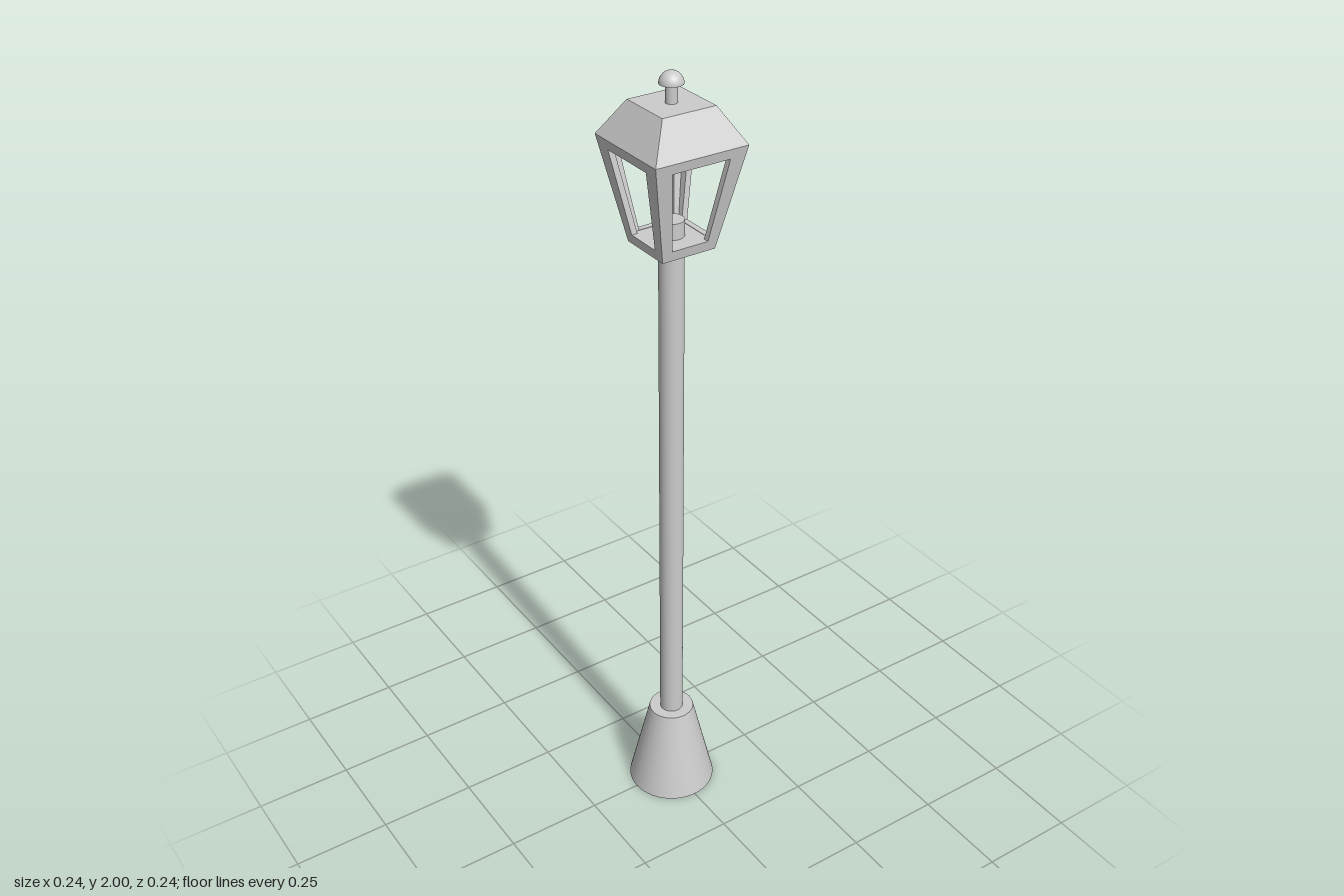
import * as THREE from 'three';

export function createModel() {
  const model = new THREE.Group();
  const smooth = new THREE.MeshStandardMaterial({ color: 0xcccccc });
  const flat = new THREE.MeshStandardMaterial({ color: 0xcccccc, flatShading: true });

  function add(name, geometry, material, parent = model) {
    const mesh = new THREE.Mesh(geometry, material);
    mesh.name = name;
    parent.add(mesh);
    return mesh;
  }
  // Upright round part between two heights
  const round = (rBottom, rTop, y0, y1) =>
    new THREE.CylinderGeometry(rTop, rBottom, y1 - y0, 48).translate(0, (y0 + y1) / 2, 0);
  // Square part turned from [halfWidth, y] points
  const square = (points) => new THREE.LatheGeometry(
    points.map(([h, y]) => new THREE.Vector2(h * Math.SQRT2, y)), 4, Math.PI / 4);

  // Base and post
  add('base', round(0.114, 0.058, 0, 0.24), smooth);
  add('post', round(0.03, 0.03, 0.2, 1.66), smooth);

  // Lantern: flared walls with trapezoid windows
  const lantern = new THREE.Group();
  lantern.name = 'lantern';
  model.add(lantern);
  const yLow = 1.597, yHigh = 1.847, wall = 0.015;
  const halfAt = (y) => 0.07 + 0.05 * (y - yLow) / (yHigh - yLow);
  const outline = (low, y0, high, y1) =>
    [[-low, y0], [low, y0], [high, y1], [-high, y1]].map(([x, y]) => new THREE.Vector2(x, y));

  const panel = new THREE.Shape(outline(0.07, yLow, 0.12, yHigh));
  panel.holes.push(new THREE.Path(outline(0.047, 1.622, 0.075, 1.823)));
  const panelGeometry = new THREE.ExtrudeGeometry(panel, { depth: wall, bevelEnabled: false });
  // Lean the panel outward and mitre its inner edges
  const p = panelGeometry.attributes.position;
  for (let i = 0; i < p.count; i++) {
    const half = halfAt(p.getY(i)) - (wall - p.getZ(i));
    p.setXYZ(i, THREE.MathUtils.clamp(p.getX(i), -half, half), p.getY(i), half);
  }
  panelGeometry.computeVertexNormals();
  ['front', 'left', 'back', 'right'].forEach((side, i) => {
    add(side + 'Frame', panelGeometry, flat, lantern).rotation.y = i * Math.PI / 2;
  });

  // Floor of the lantern, just inside the walls
  add('lanternFloor', square([[0, yLow], [0.069, yLow], [0.074, 1.621], [0, 1.621]]), flat, lantern);

  // Hollow hipped roof
  add('roof', square([
    [0, 1.918], [0.06, 1.918], [0.105, yHigh], [0.12, yHigh], [0.069, 1.93], [0, 1.93],
  ]), flat, lantern);

  // Finial: stem and domed cap
  add('finialStem', round(0.014, 0.014, 1.92, 1.98), smooth);
  add('finialCap', new THREE.SphereGeometry(0.028, 32, 12, 0, Math.PI * 2, 0, Math.PI / 2)
    .translate(0, 1.972, 0), smooth);
  add('finialCapUnderside', new THREE.CircleGeometry(0.028, 32)
    .rotateX(Math.PI / 2).translate(0, 1.972, 0), smooth);

  return model;
}
